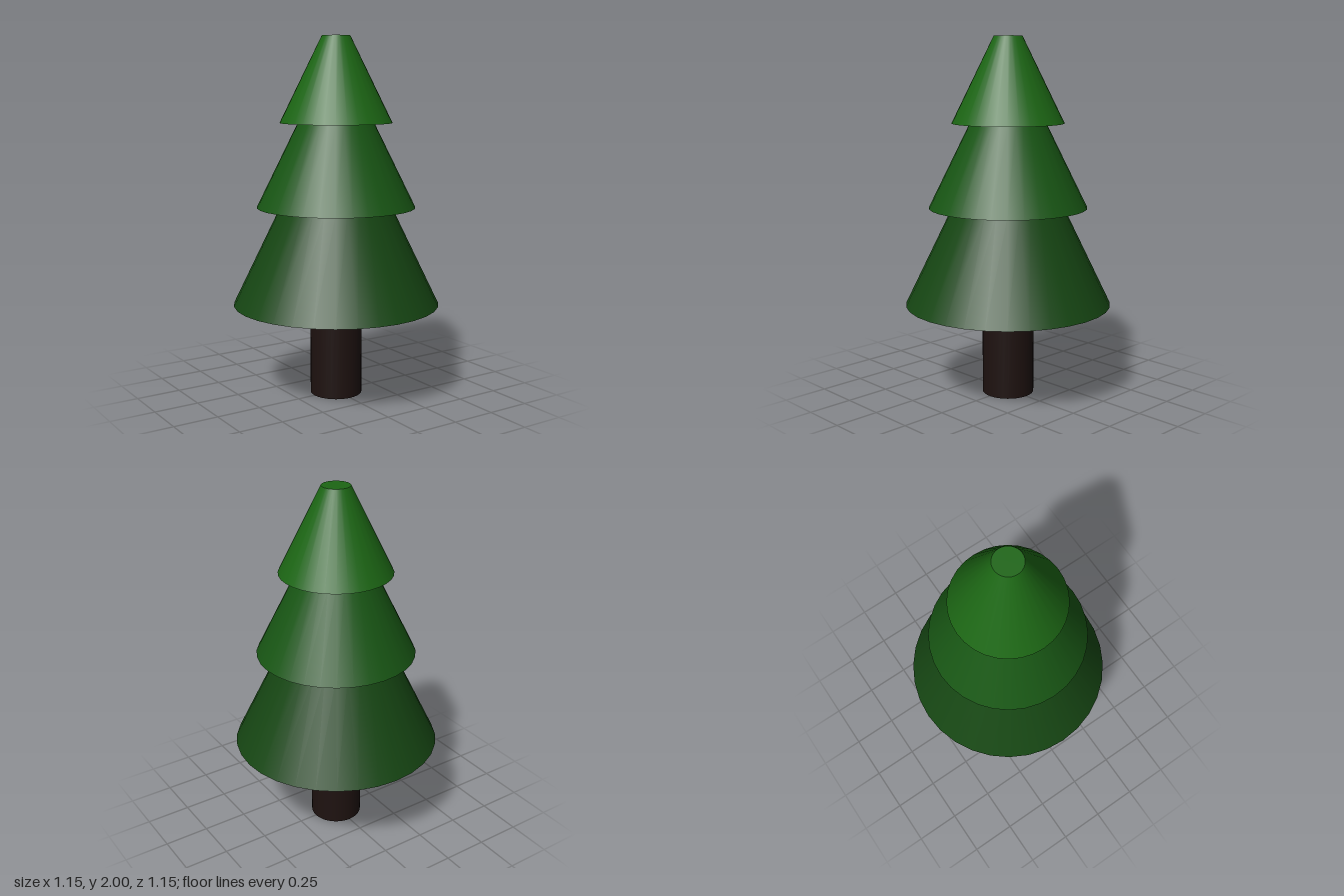
import * as THREE from 'three';

const SIDES = 32;

// Capped, tapered round section standing between two heights
function section(name, bottomY, topY, bottomRadius, topRadius, color) {
  const height = topY - bottomY;
  const mesh = new THREE.Mesh(
    new THREE.CylinderGeometry(topRadius, bottomRadius, height, SIDES),
    new THREE.MeshStandardMaterial({ color })
  );
  mesh.position.y = bottomY + height / 2;
  mesh.name = name;
  return mesh;
}

export function createModel() {
  const tree = new THREE.Group();
  tree.name = 'pineTree';

  // Straight trunk
  tree.add(section('trunk', 0, 0.52, 0.145, 0.145, 0x1e1210));

  // Stacked foliage skirts, lighter towards the top
  tree.add(section('lowerFoliage', 0.52, 1.065, 0.575, 0.31, 0x164613));
  tree.add(section('middleFoliage', 1.065, 1.53, 0.44, 0.21, 0x185614));
  tree.add(section('upperFoliage', 1.53, 2, 0.31, 0.078, 0x1c6614));

  return tree;
}
